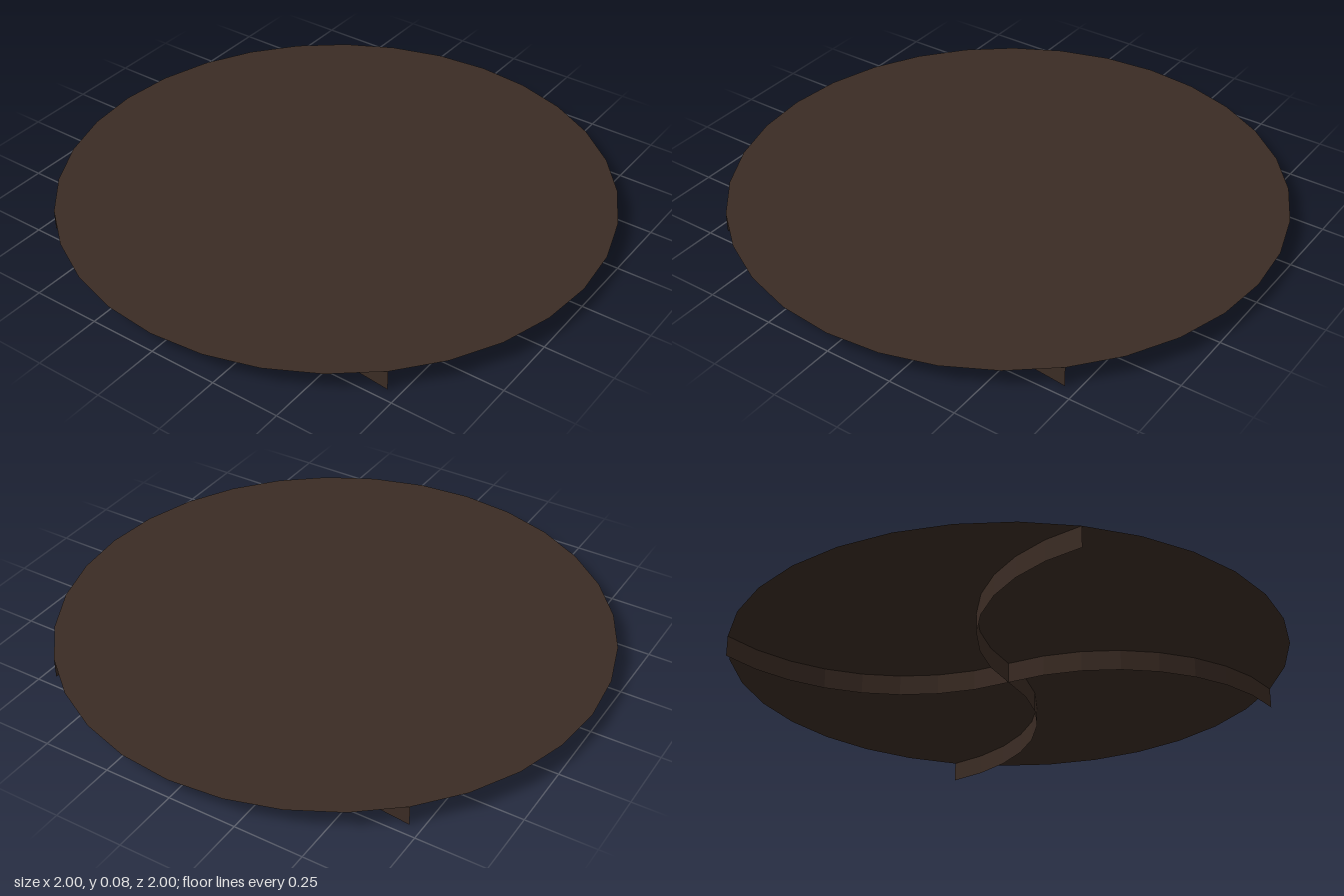
import * as THREE from 'three';

export function createModel() {
  const model = new THREE.Group();
  const material = new THREE.MeshStandardMaterial({
    color: 0x3b2c24, flatShading: true, side: THREE.DoubleSide,
  });
  const height = 0.075;
  const finRadius = Math.SQRT1_2;

  // Thin round top
  const disc = new THREE.Mesh(new THREE.CircleGeometry(1, 32).rotateX(-Math.PI / 2), material);
  disc.name = 'disc';
  disc.position.y = height;
  model.add(disc);

  // Four quarter-circle fins under the disc, swirling from the centre to the rim
  const finGeometry = new THREE.CylinderGeometry(
    finRadius, finRadius, height, 8, 1, true, -Math.PI / 2, Math.PI / 2,
  ).translate(finRadius, height / 2, 0);
  for (let i = 0; i < 4; i++) {
    const fin = new THREE.Mesh(finGeometry, material);
    fin.name = `curvedFin${i + 1}`;
    fin.rotation.y = i * Math.PI / 2;
    model.add(fin);
  }
  return model;
}
